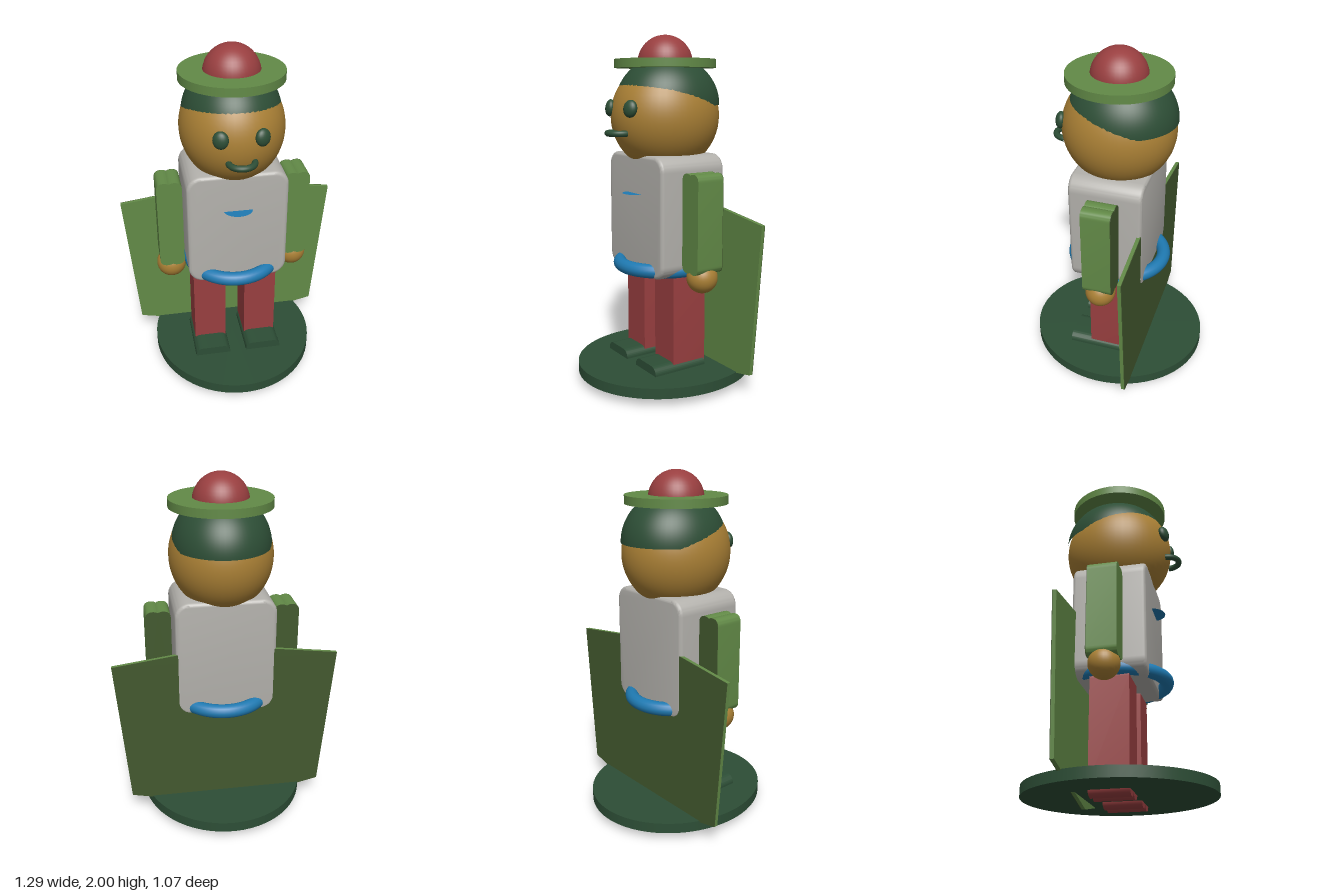
import * as THREE from 'three';
import { toCreasedNormals } from 'three/addons/utils/BufferGeometryUtils.js';

const mat = (name, color, side = THREE.FrontSide) => {
  const m = new THREE.MeshStandardMaterial({ color, side });
  m.name = name;
  return m;
};

// Rectangle with rounded corners, centred on the origin
function roundedRect(w, h, r) {
  const x = w / 2, y = h / 2, s = new THREE.Shape();
  s.moveTo(-x + r, -y);
  s.lineTo(x - r, -y);
  s.absarc(x - r, -y + r, r, -Math.PI / 2, 0);
  s.lineTo(x, y - r);
  s.absarc(x - r, y - r, r, 0, Math.PI / 2);
  s.lineTo(-x + r, y);
  s.absarc(-x + r, y - r, r, Math.PI / 2, Math.PI);
  s.lineTo(-x, -y + r);
  s.absarc(-x + r, -y + r, r, Math.PI, Math.PI * 1.5);
  return s;
}

// Limb outline: rounded corners and a small dip in the middle of both ends
function limbShape(w, h, dip) {
  const x = w / 2, y = h / 2, r = w * 0.3, s = new THREE.Shape();
  s.moveTo(-x, -y + r);
  s.quadraticCurveTo(-x, -y, -x + r, -y);
  s.quadraticCurveTo(-r * 0.3, -y, 0, -y + dip);
  s.quadraticCurveTo(r * 0.3, -y, x - r, -y);
  s.quadraticCurveTo(x, -y, x, -y + r);
  s.lineTo(x, y - r);
  s.quadraticCurveTo(x, y, x - r, y);
  s.quadraticCurveTo(r * 0.3, y, 0, y - dip);
  s.quadraticCurveTo(-r * 0.3, y, -x + r, y);
  s.quadraticCurveTo(-x, y, -x, y - r);
  return s;
}

// Extrusion along z, centred in depth
function slab(shape, depth, bevel = 0) {
  const g = new THREE.ExtrudeGeometry(shape, {
    depth: depth - 2 * bevel, curveSegments: 8, bevelEnabled: bevel > 0,
    bevelSize: bevel, bevelThickness: bevel, bevelSegments: 4,
  });
  g.translate(0, 0, -depth / 2 + bevel);
  return toCreasedNormals(g, 0.6);
}

export function createModel() {
  const model = new THREE.Group();
  model.name = 'figurine';
  const darkGreen = mat('dark green', 0x2d4e36);
  const green = mat('leaf green', 0x628a47);
  const olive = mat('dark olive', 0x43592f);
  const red = mat('brick red', 0x993f40);
  const skin = mat('ochre', 0xaa8035);
  const cloth = mat('pale grey', 0xb3b1ac);
  const blue = mat('blue', 0x1f7ab2, THREE.DoubleSide);

  const add = (name, geo, material, x = 0, y = 0, z = 0, parent = model) => {
    const m = new THREE.Mesh(geo, material);
    m.name = name;
    m.position.set(x, y, z);
    parent.add(m);
    return m;
  };

  // Oval stand
  add('stand', new THREE.CylinderGeometry(1, 1, 0.06, 64), darkGreen, 0, 0.078)
    .scale.set(0.487, 1, 0.533);

  // Torso and belt
  add('torso', slab(roundedRect(0.53, 0.645, 0.065), 0.42, 0.02), cloth, 0, 0.997);
  const belt = new THREE.TorusGeometry(0.27, 0.04, 16, 64);
  belt.rotateX(Math.PI / 2);
  add('belt', belt, blue, 0, 0.695).scale.x = 0.945;

  // Thin flap standing out from the chest
  const flap = new THREE.CircleGeometry(0.083, 32);
  flap.rotateX(-Math.PI / 2);
  add('chestFlap', flap, blue, 0, 1.117, 0.2).scale.z = 0.9;

  // Cape: thin plate behind the body with a darker outer face
  const capeShape = new THREE.Shape([
    [0, 0], [0.57, 0.128], [0.643, 0.99], [0, 1.075], [-0.643, 0.99], [-0.57, 0.128],
  ].map(([x, y]) => new THREE.Vector2(x, y)));
  add('cape', slab(capeShape, 0.02), green, 0, 0, -0.1955);
  add('capeBack', slab(capeShape, 0.003), olive, 0, 0, -0.207);

  // Limbs, mirrored
  const armShape = limbShape(0.144, 0.55, 0.008);
  const armGeo = slab(armShape, 0.166);
  const armBackGeo = slab(armShape, 0.003);
  const handGeo = new THREE.SphereGeometry(0.087, 32, 20);
  const legGeo = slab(limbShape(0.192, 0.69, 0.03), 0.218);
  const footGeo = slab(roundedRect(0.215, 0.1, 0.045), 0.34);
  const eyeGeo = new THREE.SphereGeometry(1, 24, 16);
  for (const [side, s] of [['left', 1], ['right', -1]]) {
    add(side + 'Arm', armGeo, green, s * 0.368, 0.98);
    add(side + 'ArmBack', armBackGeo, olive, s * 0.368, 0.98, -0.0845);
    add(side + 'Hand', handGeo, skin, s * 0.369, 0.675);
    add(side + 'Leg', legGeo, red, s * 0.155, 0.36);
    add(side + 'Foot', footGeo, darkGreen, s * 0.157, 0.108, 0.068);
    const eye = add(side + 'Eye', eyeGeo, darkGreen, s * 0.11, 1.596, 0.297);
    eye.scale.set(0.043, 0.048, 0.028);
    eye.rotation.set(-0.15, s * 0.37, 0);
  }

  // Head
  add('head', new THREE.SphereGeometry(1, 48, 32), skin, 0, 1.547)
    .scale.set(0.292, 0.315, 0.318);

  // Hair: half ellipsoid set higher and further back than the head
  add('hair', new THREE.SphereGeometry(1, 64, 24, 0, Math.PI * 2, 0, Math.PI / 2),
    darkGreen, 0, 1.61, -0.017).scale.set(0.276, 0.28, 0.307);

  // Mouth: half ring standing out from the face
  const mouth = new THREE.TorusGeometry(0.069, 0.0175, 12, 32, Math.PI);
  mouth.rotateX(Math.PI / 2);
  add('mouth', mouth, darkGreen, 0, 1.46, 0.298);

  // Hat
  add('hatBrim', new THREE.CylinderGeometry(0.288, 0.288, 0.048, 64), green, 0, 1.841);
  add('hatCrown', new THREE.SphereGeometry(0.157, 40, 24), red, 0, 1.843);

  return model;
}
